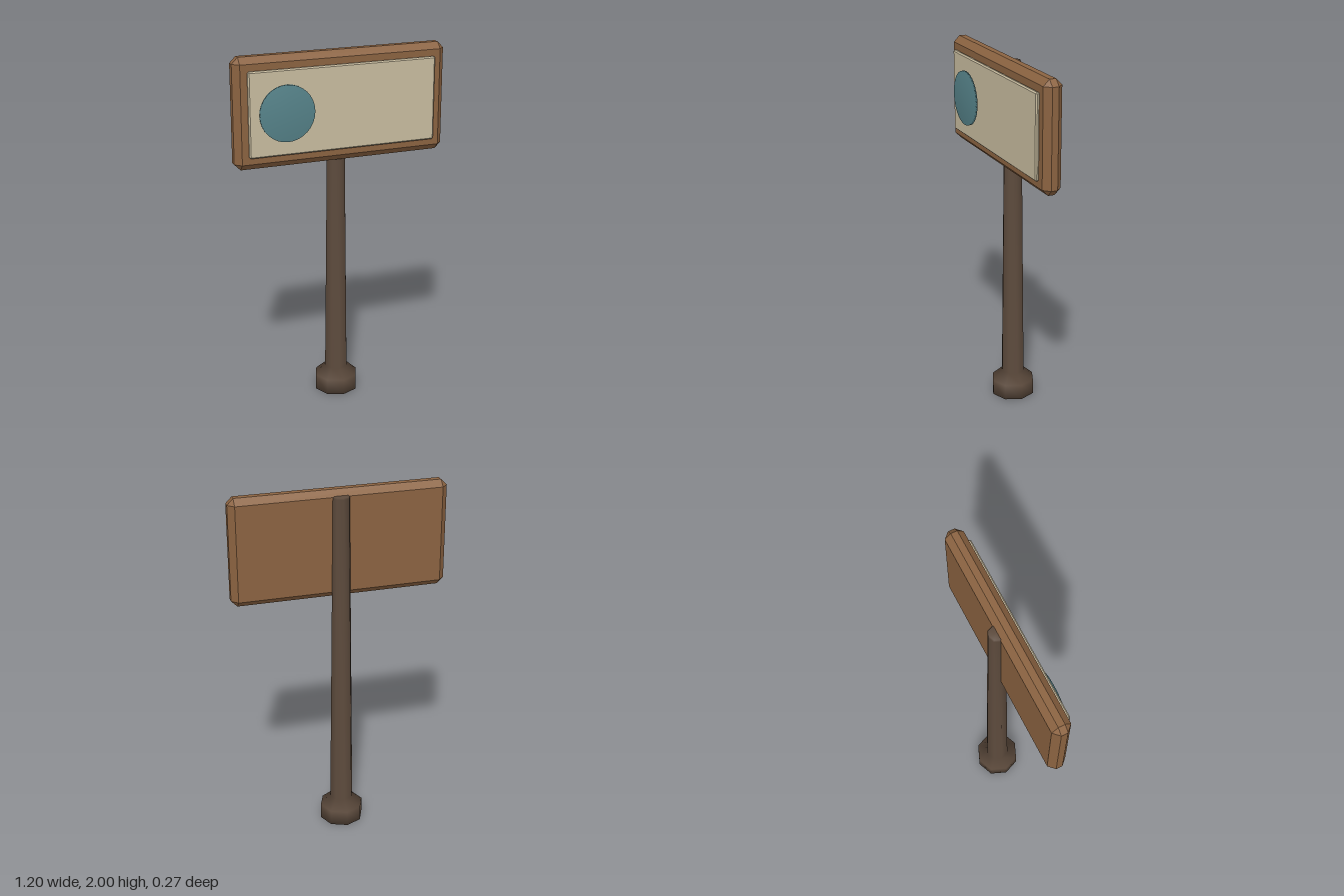
import * as THREE from 'three';
import { mergeVertices } from 'three/addons/utils/BufferGeometryUtils.js';
import { ConvexGeometry } from 'three/addons/geometries/ConvexGeometry.js';

const paint = (name, color) => {
  const material = new THREE.MeshStandardMaterial({ color });
  material.name = name;
  return material;
};

// Box with every edge and corner cut by a bevel
function bevelledBox(w, h, d, b) {
  const points = [];
  for (const x of [-1, 1]) for (const y of [-1, 1]) for (const z of [-1, 1]) {
    for (let face = 0; face < 3; face++) {
      const cut = [b, b, b];
      cut[face] = 0;
      points.push(new THREE.Vector3(x * (w / 2 - cut[0]), y * (h / 2 - cut[1]), z * (d / 2 - cut[2])));
    }
  }
  return new ConvexGeometry(points);
}

// Shares vertices so that the normals run smoothly over all edges
function smooth(geometry) {
  geometry.deleteAttribute('normal');
  geometry.deleteAttribute('uv');
  const merged = mergeVertices(geometry, 1e-4);
  merged.computeVertexNormals();
  return merged;
}

export function createModel() {
  const model = new THREE.Group();
  const add = (name, geometry, material, x, y, z) => {
    const mesh = new THREE.Mesh(geometry, material);
    mesh.name = name;
    mesh.position.set(x, y, z);
    model.add(mesh);
    return mesh;
  };

  const darkWood = paint('dark wood', 0x5c4a3c);
  const boardWood = paint('board wood', 0x8b6341);
  const cream = paint('cream panel', 0xc8bc9f);
  const teal = paint('teal', 0x56838a);

  // Eight-sided tapering post with a flared foot
  const profile = [[0, 0], [0.125, 0], [0.125, 0.088], [0.067, 0.14], [0.047, 1.962], [0.04, 1.97], [0, 1.97]]
    .map(([r, y]) => new THREE.Vector2(r, y));
  add('post', smooth(new THREE.LatheGeometry(profile, 8)), darkWood, 0, 0, -0.011);

  // Sign board and its raised front panel
  add('board', bevelledBox(1.2, 0.6, 0.104, 0.034), boardWood, 0, 1.7, 0.04);
  add('panel', bevelledBox(1.06, 0.46, 0.022, 0.007), cream, 0, 1.7, 0.101);

  // Round emblem in front of the panel
  const disc = smooth(new THREE.CylinderGeometry(0.152, 0.152, 0.014, 32));
  add('disc', disc, teal, -0.325, 1.7, 0.127).rotation.x = Math.PI / 2;

  return model;
}
